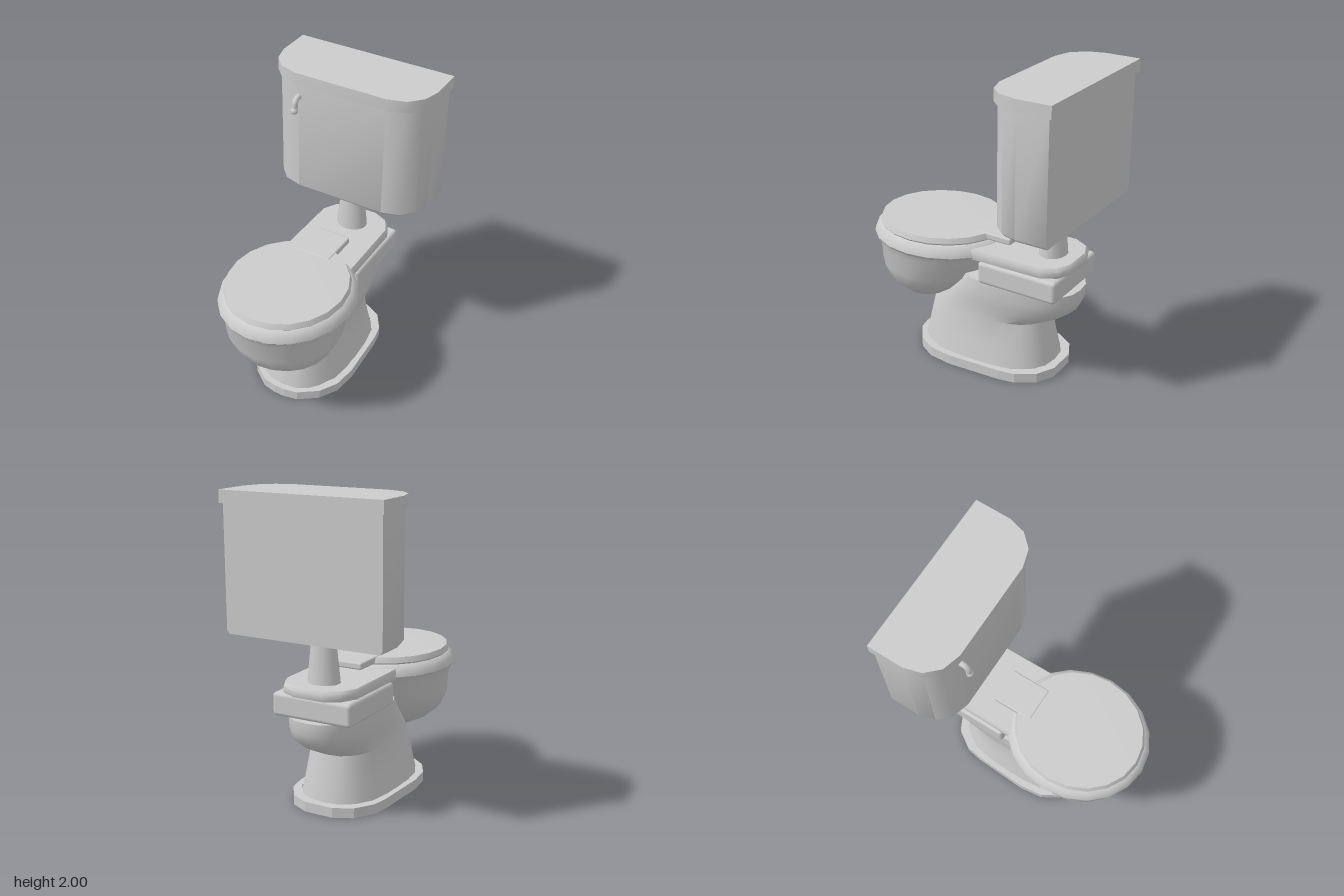
import * as THREE from 'three';
import { toCreasedNormals } from 'three/addons/utils/BufferGeometryUtils.js';
import { RoundedBoxGeometry } from 'three/addons/geometries/RoundedBoxGeometry.js';

const material = new THREE.MeshStandardMaterial({ color: 0xcccccc });
const openMaterial = new THREE.MeshStandardMaterial({ color: 0xcccccc, side: THREE.DoubleSide });

// Skin a stack of rings (bottom to top), closing the ends with fans
function loft(rings, { bottom = true, top = true, dome = 0, crease = 0.7 } = {}) {
  const n = rings[0].length;
  const pos = [];
  const tri = (...pts) => pts.forEach(p => pos.push(p.x, p.y, p.z));
  for (let i = 0; i < rings.length - 1; i++) {
    for (let j = 0; j < n; j++) {
      const k = (j + 1) % n, lo = rings[i], hi = rings[i + 1];
      tri(lo[j], hi[j], lo[k]);
      tri(lo[k], hi[j], hi[k]);
    }
  }
  const cap = (ring, up) => {
    const c = ring.reduce((s, p) => s.add(p), new THREE.Vector3()).divideScalar(n);
    if (up) c.y += dome;
    for (let j = 0; j < n; j++) {
      const k = (j + 1) % n;
      if (up) tri(c, ring[k], ring[j]);
      else tri(c, ring[j], ring[k]);
    }
  };
  if (bottom) cap(rings[0], false);
  if (top) cap(rings[rings.length - 1], true);
  const geo = new THREE.BufferGeometry();
  geo.setAttribute('position', new THREE.Float32BufferAttribute(pos, 3));
  return toCreasedNormals(geo, crease);
}

// Oval ring; power above 2 squares it off
function oval(y, rx, zFront, zBack, sides = 20, power = 2) {
  const cz = (zFront + zBack) / 2, rz = (zFront - zBack) / 2;
  const bend = v => Math.sign(v) * Math.pow(Math.abs(v), 2 / power);
  return Array.from({ length: sides }, (_, i) => {
    const a = i / sides * Math.PI * 2;
    return new THREE.Vector3(rx * bend(Math.cos(a)), y, cz + rz * bend(Math.sin(a)));
  });
}

// Ring from half an outline (back to front on +x), mirrored and inset about cz
function mirrored(half, y, cz = 0, sx = 1, sz = sx) {
  const right = half.map(([x, z]) => new THREE.Vector3(x * sx, y, cz + (z - cz) * sz));
  const left = right.map(p => new THREE.Vector3(-p.x, p.y, p.z)).reverse();
  return [...right, ...left];
}

export function createModel() {
  const group = new THREE.Group();
  const add = (name, geo, mat = material) => {
    const mesh = new THREE.Mesh(geo, mat);
    mesh.name = name;
    group.add(mesh);
    return mesh;
  };

  // Foot flange, open in the middle
  const footHalf = [[0.1, -0.61], [0.22, -0.55], [0.3, -0.43], [0.32, -0.32], [0.34, 0.05],
    [0.32, 0.21], [0.25, 0.33], [0.13, 0.42], [0.04, 0.44]];
  const foot = s => mirrored(footHalf, 0, -0.08, s);
  const flat = ring => ring.map(p => new THREE.Vector2(p.x, -p.z));
  const footShape = new THREE.Shape(flat(foot(1)));
  footShape.holes.push(new THREE.Path(flat(foot(0.87))));
  const footGeo = new THREE.ExtrudeGeometry(footShape, { depth: 0.065, bevelEnabled: false });
  add('footFlange', footGeo.rotateX(-Math.PI / 2));

  // Pedestal with its waist and rear bulge
  add('pedestal', loft([
    [0.03, 0.302, 0.405, -0.565], [0.065, 0.295, 0.4, -0.56], [0.2, 0.268, 0.37, -0.53],
    [0.36, 0.24, 0.335, -0.5], [0.42, 0.24, 0.3, -0.62], [0.48, 0.25, 0.25, -0.7],
    [0.55, 0.26, 0.18, -0.73], [0.63, 0.262, 0.12, -0.73],
  ].map(([y, rx, f, b]) => oval(y, rx, f, b, 24, 2.5)), { bottom: false }), openMaterial);

  // Bowl
  add('bowl', loft([
    [0.335, 0.125, 0.45, 0.3], [0.385, 0.23, 0.575, 0.21], [0.47, 0.33, 0.68, 0.085],
    [0.58, 0.385, 0.73, -0.03], [0.72, 0.4, 0.745, -0.11], [0.775, 0.425, 0.775, -0.15],
  ].map(r => oval(...r)), { crease: 0.8 }));

  // Seat ring
  add('seat', loft([
    [0.77, 0.425, 0.77, -0.17], [0.79, 0.44, 0.785, -0.185],
    [0.825, 0.43, 0.775, -0.175], [0.86, 0.4, 0.745, -0.14],
  ].map(r => oval(...r)), { crease: 0.9 }));

  // Closed lid and its hinge tab
  add('lid', loft([
    [0.855, 0.39, 0.73, -0.12], [0.87, 0.4, 0.745, -0.13], [0.904, 0.387, 0.73, -0.115],
  ].map(r => oval(...r)), { dome: 0.006 }));
  add('lidTab', new RoundedBoxGeometry(0.24, 0.046, 0.28, 2, 0.012)).position.set(0, 0.887, -0.14);

  // Rear shelf behind the seat, with softened edges
  const shelfHalf = [[0.1, -0.715], [0.2, -0.67], [0.255, -0.57], [0.26, -0.1], [0.26, 0.1]];
  add('rearShelf', loft([
    [0.775, 0.99], [0.79, 1], [0.82, 1], [0.84, 0.96],
  ].map(([y, s]) => mirrored(shelfHalf, y, -0.3, s)), { crease: 0.8 }));
  add('rearBlock', new RoundedBoxGeometry(0.55, 0.15, 0.56, 2, 0.025)).position.set(0, 0.702, -0.41);

  // Flush pipe, tapering upward
  const pipe = new THREE.CylinderGeometry(0.064, 0.091, 0.31, 16, 1);
  add('flushPipe', pipe.scale(1.18, 1, 1)).position.set(0, 0.985, -0.527);

  // Tank and its cover
  const tankHalf = [[0.535, -0.77], [0.535, -0.56], [0.505, -0.455], [0.43, -0.375], [0.31, -0.34]];
  add('tank', loft([
    mirrored(tankHalf, 1.13, -0.77, 0.97, 0.96),
    mirrored(tankHalf, 1.15, -0.77),
    mirrored(tankHalf, 1.93, -0.77),
  ], { crease: 0.75 }));
  const coverHalf = [[0.55, -0.79], [0.55, -0.55], [0.52, -0.44], [0.44, -0.355], [0.32, -0.32]];
  add('tankCover', loft([mirrored(coverHalf, 1.92), mirrored(coverHalf, 2)], { crease: 0.75 }));

  // Flush lever on the tank front
  const lever = new THREE.Group();
  lever.name = 'flushLever';
  const path = new THREE.CatmullRomCurve3([[-0.35, 1.828], [-0.315, 1.826], [-0.293, 1.805],
    [-0.288, 1.77], [-0.283, 1.752]].map(([z, y]) => new THREE.Vector3(-0.305, y, z)));
  const arm = new THREE.Mesh(new THREE.TubeGeometry(path, 12, 0.019, 10), material);
  arm.name = 'leverArm';
  const tip = new THREE.Mesh(new THREE.SphereGeometry(0.024, 12, 8), material);
  tip.name = 'leverTip';
  tip.position.set(-0.305, 1.75, -0.283);
  lever.add(arm, tip);
  group.add(lever);

  return group;
}
